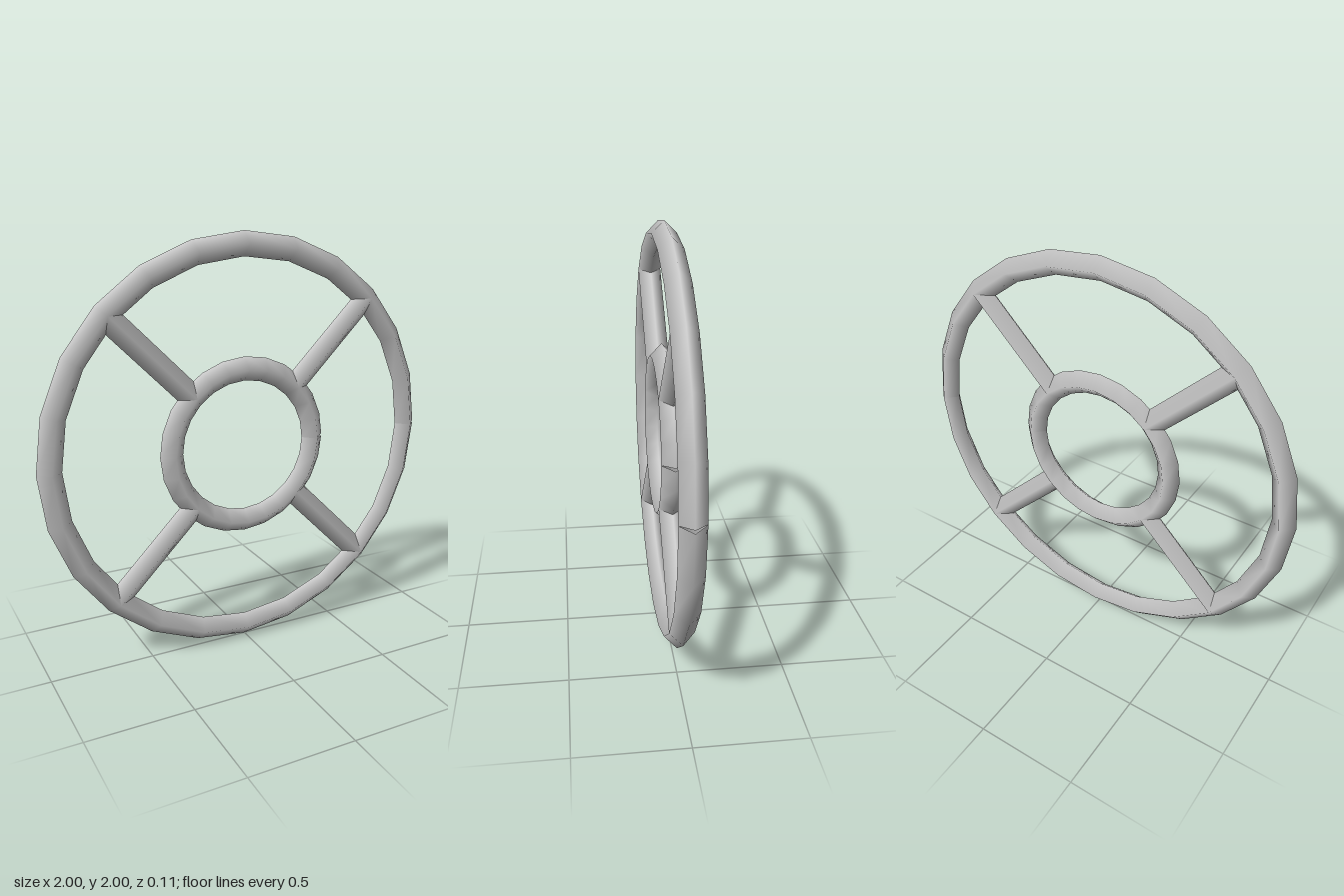
import * as THREE from 'three';

const BAR = 0.057;      // half width of the diamond-section bar
const OUTER = 0.943;    // centre-line radii of the two rings
const INNER = 0.375;
const SIDES = 24;

// Straight-sided ring path; its two ends are cut square to their chords
class PolygonPath extends THREE.Curve {
  constructor(radius) {
    super();
    this.radius = radius;
  }
  corner(i) {
    const a = (i / SIDES) * Math.PI * 2;
    return new THREE.Vector3(Math.cos(a) * this.radius, Math.sin(a) * this.radius, 0);
  }
  getPoint(t) {
    const i = Math.min(Math.floor(t * SIDES + 1e-6), SIDES - 1);
    return this.corner(i).lerp(this.corner(i + 1), t * SIDES - i);
  }
  getPointAt(t) {
    return this.getPoint(t);
  }
  getTangentAt(t) {
    const a = this.getPoint(Math.max(t - 0.001, 0));
    return this.getPoint(Math.min(t + 0.001, 1)).sub(a).normalize();
  }
}

export function createModel() {
  const group = new THREE.Group();
  const grey = new THREE.MeshStandardMaterial({ color: 0xcccccc, side: THREE.DoubleSide });
  grey.name = 'light grey';

  const wheel = new THREE.Group();
  wheel.name = 'wheel';
  wheel.position.y = 1;
  group.add(wheel);

  // Rim and hub rings, each with a small slit on the +x side
  for (const [name, radius] of [['outerRing', OUTER], ['innerRing', INNER]]) {
    const ring = new THREE.Mesh(
      new THREE.TubeGeometry(new PolygonPath(radius), SIDES, BAR, 4, false), grey);
    ring.name = name;
    wheel.add(ring);
  }

  // Four diagonal spokes between the ring centre lines
  const spokeGeometry = new THREE.CylinderGeometry(BAR, BAR, OUTER - INNER, 4, 1, true);
  spokeGeometry.translate(0, (OUTER + INNER) / 2, 0);
  for (let i = 0; i < 4; i++) {
    const spoke = new THREE.Mesh(spokeGeometry, grey);
    spoke.name = 'spoke' + (i + 1);
    spoke.rotation.z = Math.PI / 4 + (i * Math.PI) / 2;
    wheel.add(spoke);
  }
  return group;
}
